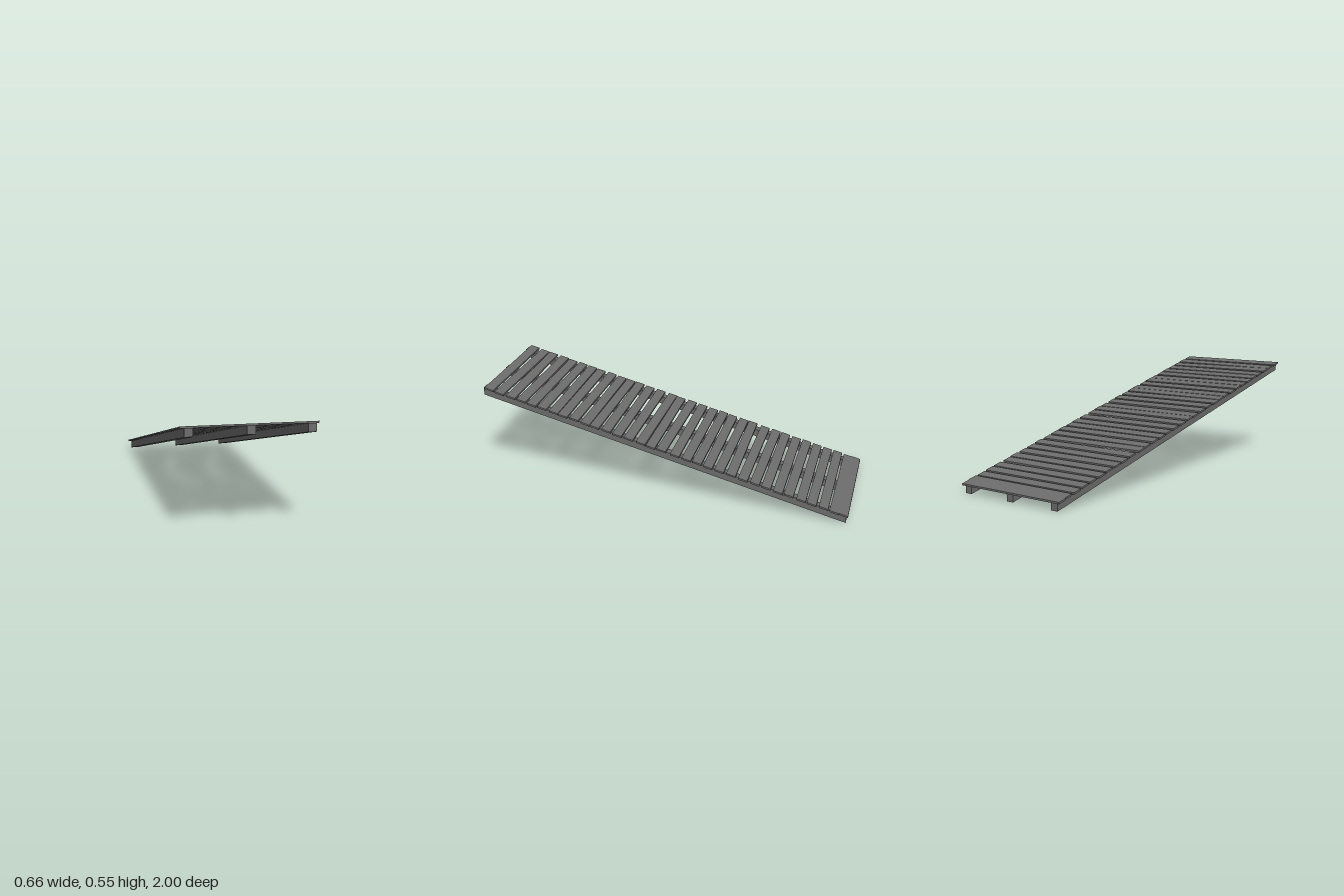
import * as THREE from 'three';

const SLOPE = 0.5 / 1.99;
const BEAM = { width: 0.041, height: 0.042, length: 1.99, centre: 0.005 };
const SLAT = { width: 0.656, height: 0.0093, depth: 0.049 };

// Hand-laid slats: centre along the ramp and slight skew in thousandths of a radian
const SLAT_Z = [
  -0.9755, -0.929, -0.871, -0.81, -0.752, -0.688, -0.63, -0.566, -0.508, -0.444, -0.375,
  -0.317, -0.253, -0.195, -0.137, -0.073, -0.004, 0.059, 0.112, 0.181, 0.245,
  0.308, 0.367, 0.42, 0.483, 0.547, 0.6, 0.663, 0.722, 0.78, 0.844, 0.902, 0.9645,
];
const SKEW = [
  0, -4, 2, -3, 3, -4, 2, 3, -5, -3, 12, -5, 3, -3, 2, 4, -12, 3, -3, 4, 8,
  10, -3, 2, -3, 4, 8, -3, 3, -4, 12, -10, 0,
];

// Box laid along the slope, with its ends kept upright
function slopedBox(width, height, depth, skew = 0) {
  const geometry = new THREE.BoxGeometry(width, height, depth).rotateY(skew);
  geometry.applyMatrix4(new THREE.Matrix4().makeShear(0, 0, 0, 0, 0, SLOPE));
  geometry.computeVertexNormals();
  return geometry;
}

export function createModel() {
  const model = new THREE.Group();
  model.name = 'slattedRamp';
  const material = new THREE.MeshStandardMaterial({ color: 0x6c6c6c });

  // Places a part at plan position x, z and height y above the sloping underside
  const addPart = (name, geometry, x, y, z) => {
    const mesh = new THREE.Mesh(geometry, material);
    mesh.name = name;
    mesh.position.set(x, y + 0.25 + (z - BEAM.centre) * SLOPE, z);
    model.add(mesh);
  };

  // Three long support beams
  const beamGeometry = slopedBox(BEAM.width, BEAM.height, BEAM.length);
  [['rightBeam', -0.29], ['middleBeam', 0], ['leftBeam', 0.29]].forEach(([name, x]) => {
    addPart(name, beamGeometry, x, BEAM.height / 2, BEAM.centre);
  });

  // Cross slats resting on the beams, slightly uneven
  SLAT_Z.forEach((z, i) => {
    const atEnd = i === 0 || i === SLAT_Z.length - 1;
    const shift = atEnd ? -0.0025 : 0.0028 * Math.sin(i * 2.3);
    const geometry = slopedBox(SLAT.width, SLAT.height, SLAT.depth, SKEW[i] / 1000);
    addPart(`slat${i + 1}`, geometry, shift, BEAM.height + SLAT.height / 2, z);
  });

  return model;
}
